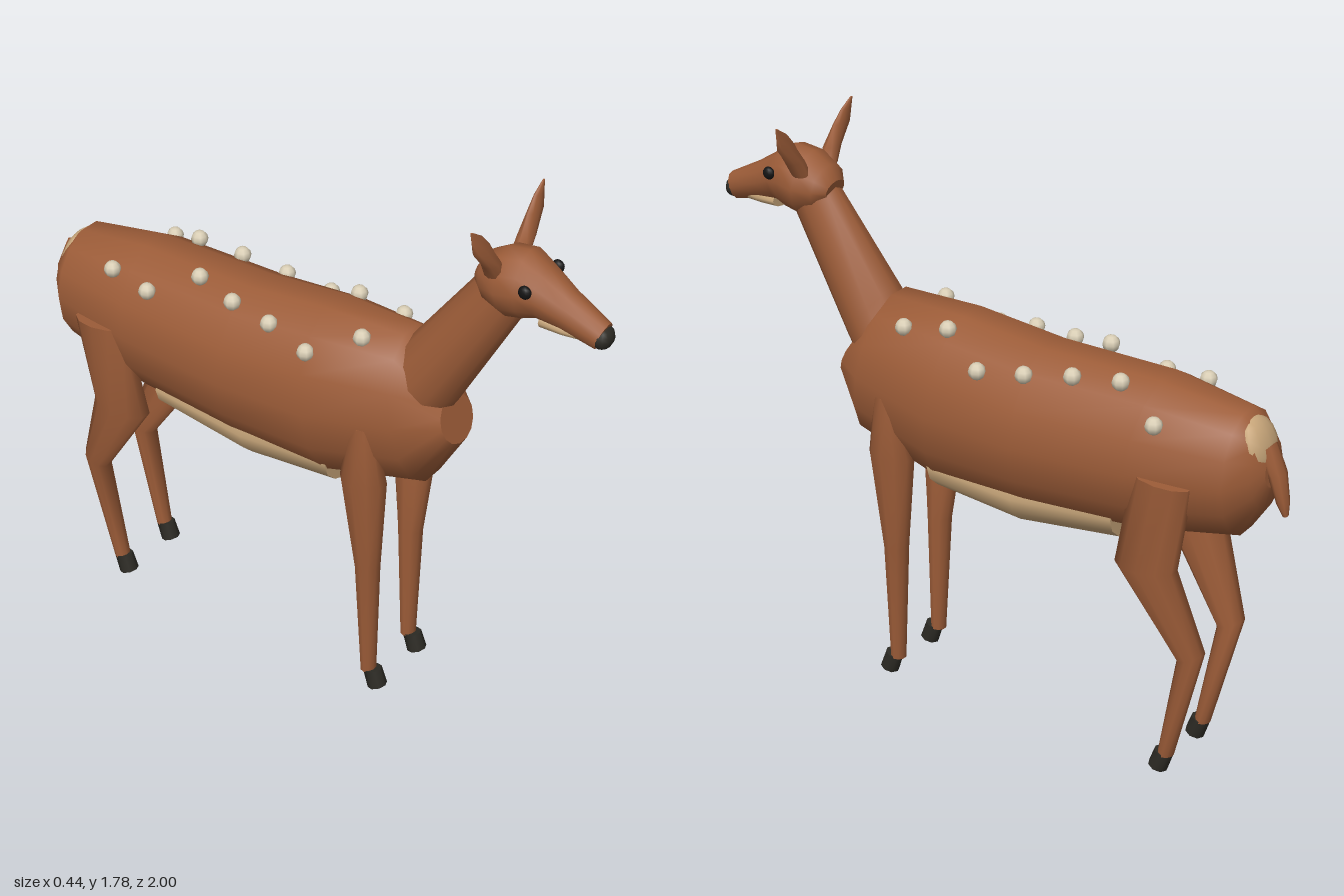
import * as THREE from 'three';

const paint = (name, color) => {
  const m = new THREE.MeshStandardMaterial({ color });
  m.name = name;
  return m;
};
const coat = paint('russet coat', 0x9c5c38);
const cream = paint('cream fur', 0xc8a67a);
const spotWhite = paint('spot white', 0xd8cdb4);
const dark = paint('dark horn', 0x2c2a24);
const black = paint('eye black', 0x141414);

// Skin over elliptical rings. Each ring: [z1, y1, z2, y2, half width, centre x],
// where (z1, y1) and (z2, y2) are opposite ends of the ring in the side plane.
function loft(rings, sides = 12) {
  const pos = [], index = [];
  const centre = ([z1, y1, z2, y2, , x = 0]) =>
    new THREE.Vector3(x, (y1 + y2) / 2, (z1 + z2) / 2);
  const addRing = (r) => {
    const c = centre(r);
    for (let i = 0; i < sides; i++) {
      const t = (i / sides) * Math.PI * 2;
      pos.push(c.x + Math.cos(t) * r[4],
        c.y + Math.sin(t) * (r[1] - r[3]) / 2,
        c.z + Math.sin(t) * (r[0] - r[2]) / 2);
    }
  };
  const [first, last] = [rings[0], rings[rings.length - 1]];
  const along = centre(last).sub(centre(first));
  const normal = new THREE.Vector3(1, 0, 0)
    .cross(new THREE.Vector3(0, first[1] - first[3], first[0] - first[2]));
  const flip = normal.dot(along) < 0;
  const tri = (a, b, c) => (flip ? index.push(a, c, b) : index.push(a, b, c));

  rings.forEach(addRing);
  for (let j = 0; j < rings.length - 1; j++) {
    for (let i = 0; i < sides; i++) {
      const a = j * sides + i, b = j * sides + (i + 1) % sides;
      tri(a, b, b + sides);
      tri(a, b + sides, a + sides);
    }
  }
  // Flat caps with their own vertices
  [first, last].forEach((r, end) => {
    const start = pos.length / 3;
    addRing(r);
    pos.push(...centre(r).toArray());
    for (let i = 0; i < sides; i++) {
      const a = start + i, b = start + (i + 1) % sides;
      end ? tri(a, b, start + sides) : tri(b, a, start + sides);
    }
  });
  const g = new THREE.BufferGeometry();
  g.setAttribute('position', new THREE.Float32BufferAttribute(pos, 3));
  g.setIndex(index);
  g.computeVertexNormals();
  return g;
}

export function createModel() {
  const model = new THREE.Group();
  model.name = 'deer';
  const add = (name, geometry, material) => {
    const mesh = new THREE.Mesh(geometry, material);
    mesh.name = name;
    model.add(mesh);
    return mesh;
  };
  const ball = (name, material, [x, y, z], [rx, ry, rz], w = 12, h = 8) => {
    const mesh = add(name, new THREE.SphereGeometry(1, w, h), material);
    mesh.position.set(x, y, z);
    mesh.scale.set(rx, ry, rz);
    return mesh;
  };

  // Trunk, from chest to rump
  add('body', loft([
    [0.49, 1.10, 0.54, 0.96, 0.08],
    [0.35, 1.28, 0.44, 0.79, 0.17],
    [0.08, 1.28, 0.14, 0.71, 0.215],
    [-0.20, 1.25, -0.20, 0.72, 0.22],
    [-0.60, 1.25, -0.55, 0.75, 0.205],
    [-0.86, 1.21, -0.87, 0.82, 0.155],
    [-0.915, 1.15, -0.935, 0.92, 0.095],
    [-0.94, 1.08, -0.95, 0.99, 0.045],
  ], 14), coat);
  add('belly', loft([
    [0.15, 0.90, 0.15, 0.69, 0.145],
    [-0.16, 0.89, -0.16, 0.665, 0.155],
    [-0.50, 0.90, -0.50, 0.71, 0.14],
  ], 14), cream);
  const rump = ball('rumpPatch', cream, [0, 1.11, -0.895], [0.085, 0.085, 0.04]);
  rump.rotation.x = 0.35;
  add('tail', loft([
    [-0.95, 1.13, -0.90, 1.08, 0.03],
    [-0.985, 1.04, -0.935, 1.03, 0.036],
    [-1.00, 0.95, -0.965, 0.95, 0.026],
    [-1.00, 0.91, -0.985, 0.91, 0.012],
  ], 8), coat);

  // Neck and head
  add('neck', loft([
    [0.31, 1.20, 0.47, 1.02, 0.11],
    [0.37, 1.28, 0.52, 1.10, 0.10],
    [0.59, 1.57, 0.72, 1.46, 0.068],
  ]), coat);
  add('head', loft([
    [0.575, 1.58, 0.59, 1.52, 0.045],
    [0.60, 1.625, 0.63, 1.48, 0.08],
    [0.66, 1.66, 0.69, 1.455, 0.1],
    [0.73, 1.67, 0.74, 1.465, 0.095],
    [0.79, 1.635, 0.78, 1.48, 0.078],
    [0.87, 1.585, 0.85, 1.468, 0.058],
    [0.985, 1.525, 0.955, 1.44, 0.038],
  ]), coat);
  add('jaw', loft([
    [0.79, 1.505, 0.79, 1.453, 0.045],
    [0.86, 1.50, 0.86, 1.452, 0.042],
    [0.93, 1.49, 0.92, 1.452, 0.026],
  ]), cream);
  ball('nose', dark, [0, 1.48, 0.972], [0.04, 0.034, 0.028]);

  for (const s of [1, -1]) {
    const side = s > 0 ? 'left' : 'right';
    ball(side + 'Eye', black, [s * 0.086, 1.59, 0.768], [0.014, 0.02, 0.02]);
    add(side + 'Ear', loft([
      [0.685, 1.60, 0.63, 1.60, 0.03, s * 0.065],
      [0.685, 1.645, 0.635, 1.65, 0.034, s * 0.09],
      [0.672, 1.71, 0.642, 1.71, 0.040, s * 0.136],
      [0.663, 1.75, 0.645, 1.75, 0.025, s * 0.157],
      [0.655, 1.78, 0.649, 1.78, 0.004, s * 0.182],
    ], 8), coat);

    // Legs, from the top down
    add(side + 'FrontLeg', loft([
      [0.33, 1.00, 0.25, 1.00, 0.03, s * 0.155],
      [0.36, 0.80, 0.21, 0.80, 0.062, s * 0.138],
      [0.33, 0.47, 0.25, 0.47, 0.042, s * 0.116],
      [0.32, 0.06, 0.27, 0.06, 0.026, s * 0.11],
    ], 10), coat);
    add(side + 'HindLeg', loft([
      [-0.59, 1.01, -0.78, 1.00, 0.05, s * 0.165],
      [-0.53, 0.70, -0.73, 0.71, 0.06, s * 0.15],
      [-0.73, 0.41, -0.815, 0.45, 0.04, s * 0.118],
      [-0.67, 0.06, -0.72, 0.06, 0.026, s * 0.11],
    ], 10), coat);
    for (const [name, z] of [['FrontHoof', 0.29], ['HindHoof', -0.71]]) {
      add(side + name, loft([
        [z + 0.05, 0.075, z - 0.01, 0.06, 0.028, s * 0.11],
        [z + 0.07, 0.02, z + 0.01, 0.0, 0.031, s * 0.11],
      ], 8), dark);
    }
  }

  // Back spots: [x, y, z]
  const spots = [
    [0.12, 1.225, 0.245], [0.105, 1.25, 0.095], [0.165, 1.175, -0.05], [0.145, 1.195, -0.20],
    [0.12, 1.22, -0.35], [0.10, 1.235, -0.50], [0.165, 1.165, -0.65],
    [-0.09, 1.25, 0.24], [-0.16, 1.18, 0.09], [-0.135, 1.21, -0.06], [-0.115, 1.22, -0.21],
    [-0.09, 1.245, -0.35], [-0.16, 1.175, -0.50], [-0.14, 1.19, -0.65],
  ];
  for (const p of spots) ball('spot', spotWhite, p, [0.027, 0.027, 0.027], 8, 6);

  return model;
}
